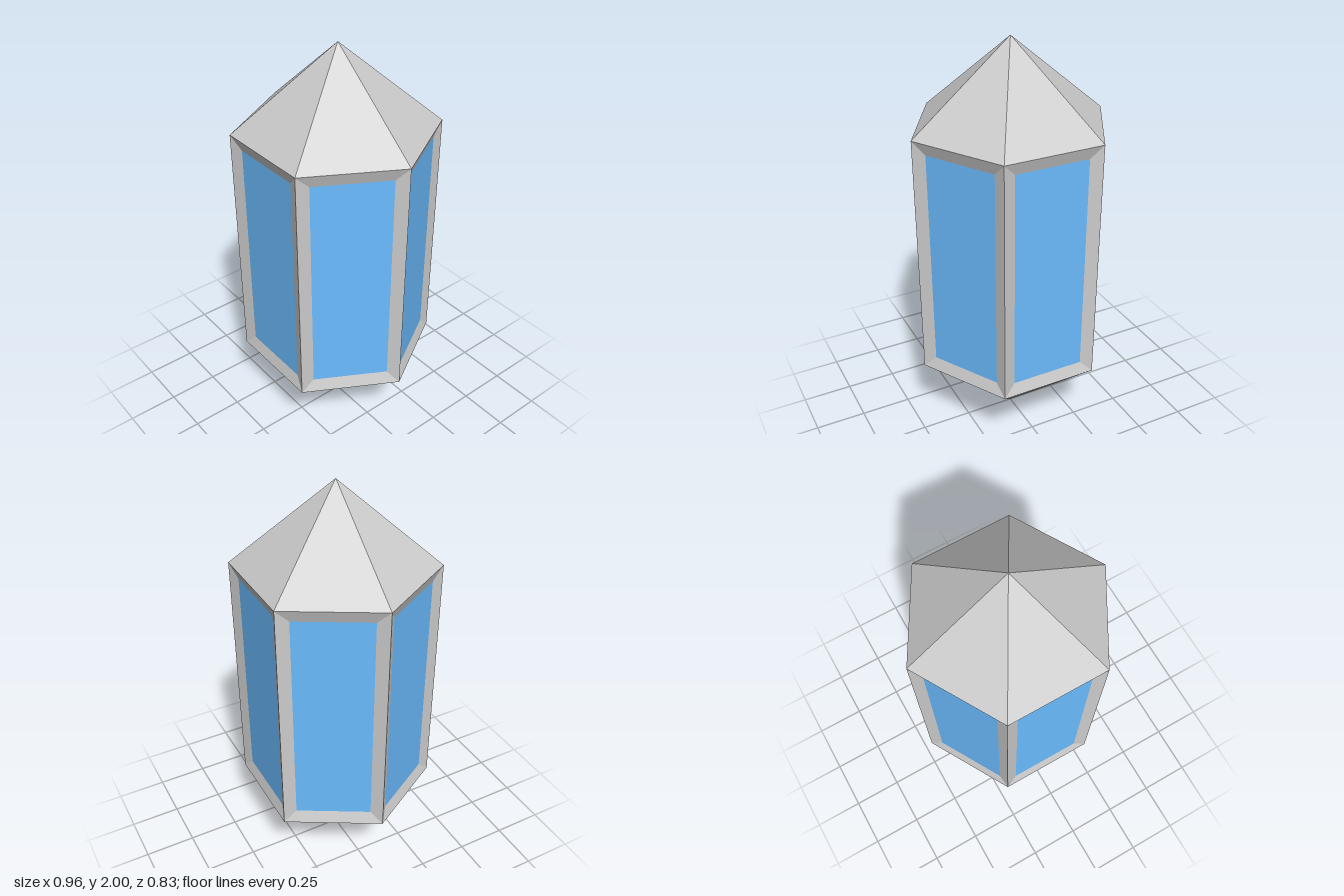
import * as THREE from 'three';

const SIDES = 6, RADIUS = 0.48, APOTHEM = RADIUS * Math.cos(Math.PI / SIDES);
const BOTTOM = 0.4, TOP = 1.6, TIP = 0.4;
const INSET = 0.06, DEPTH = 0.02;

const stone = new THREE.MeshStandardMaterial({ color: 0xcccccc, flatShading: true });
const glass = new THREE.MeshStandardMaterial({ color: 0x6bbcff });

// Sloping border that runs from the outer edge of a side to its sunken pane
function bevelGeometry(width, height) {
  const ring = (w, h, z) => [[-w, -h, z], [w, -h, z], [w, h, z], [-w, h, z]];
  const outer = ring(width / 2, height / 2, 0);
  const inner = ring(width / 2 - INSET, height / 2 - INSET, -DEPTH);
  const points = [];
  for (let i = 0; i < 4; i++) {
    const j = (i + 1) % 4;
    points.push(...outer[i], ...outer[j], ...inner[j], ...outer[i], ...inner[j], ...inner[i]);
  }
  const geometry = new THREE.BufferGeometry();
  geometry.setAttribute('position', new THREE.Float32BufferAttribute(points, 3));
  geometry.computeVertexNormals();
  return geometry;
}

export function createModel() {
  const model = new THREE.Group();
  model.name = 'crystal';

  const add = (name, geometry, material, parent) => {
    const mesh = new THREE.Mesh(geometry, material);
    mesh.name = name;
    parent.add(mesh);
    return mesh;
  };

  // Pointed ends, with corners on the x axis
  const point = new THREE.ConeGeometry(RADIUS, TIP, SIDES, 1, true, Math.PI / 2);
  add('upperPoint', point, stone, model).position.y = TOP + TIP / 2;
  const lower = add('lowerPoint', point, stone, model);
  lower.position.y = BOTTOM - TIP / 2;
  lower.rotation.x = Math.PI;

  // Six sides, each a bevelled border around a sunken pane
  const height = TOP - BOTTOM;
  const bevel = bevelGeometry(RADIUS, height);
  const pane = new THREE.PlaneGeometry(RADIUS - 2 * INSET, height - 2 * INSET);
  for (let i = 0; i < SIDES; i++) {
    const side = new THREE.Group();
    side.name = `side${i + 1}`;
    side.rotation.y = (i / SIDES) * Math.PI * 2;
    add('border', bevel, stone, side).position.set(0, (TOP + BOTTOM) / 2, APOTHEM);
    add('pane', pane, glass, side).position.set(0, (TOP + BOTTOM) / 2, APOTHEM - DEPTH);
    model.add(side);
  }
  return model;
}
